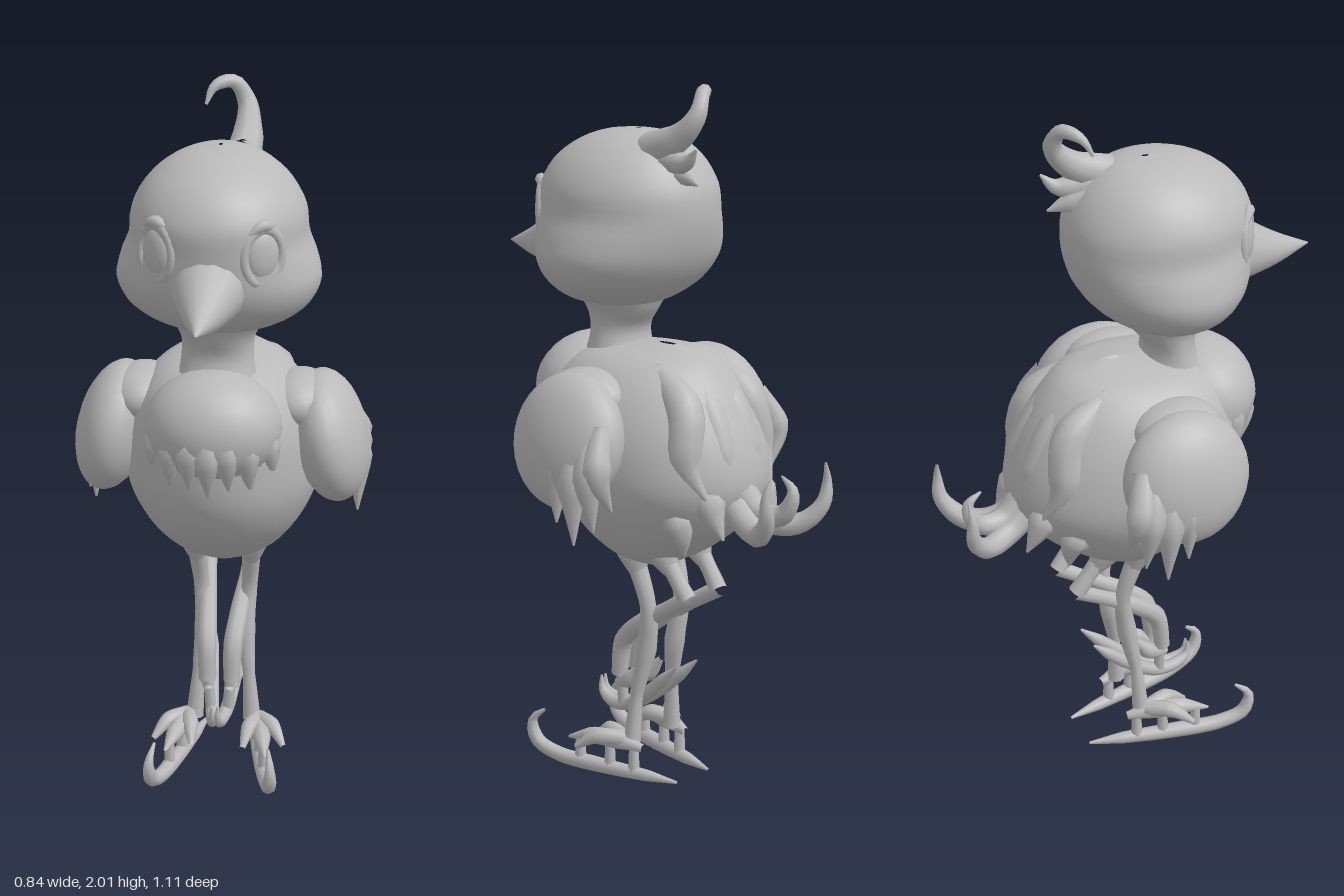
import * as THREE from 'three';
import { mergeVertices } from 'three/addons/utils/BufferGeometryUtils.js';

const plaster = new THREE.MeshStandardMaterial({ color: 0xbababa });
plaster.name = 'grey plaster';

const V = (p) => new THREE.Vector3(...p);

function smooth(geo) {
  geo.deleteAttribute('uv');
  geo.deleteAttribute('normal');
  const g = mergeVertices(geo, 1e-5);
  g.computeVertexNormals();
  return g;
}

function add(parent, name, geo) {
  const mesh = new THREE.Mesh(geo, plaster);
  mesh.name = name;
  parent.add(mesh);
  return mesh;
}

// Solid through elliptical rings given as [y, half width, back z, front z].
function loft(rows, segments = 32) {
  const sides = new THREE.CatmullRomCurve3(rows.map((r) => V([r[1], r[0], 0])));
  const depths = new THREE.CatmullRomCurve3(rows.map((r) => V([r[2], r[0], r[3]])));
  const n = rows.length * 3;
  const rings = [];
  for (let i = 0; i <= n; i++) rings.push(new THREE.Vector2(1, i));
  const geo = new THREE.LatheGeometry(rings, segments);
  const pos = geo.attributes.position;
  for (let i = 0; i < pos.count; i++) {
    const t = Math.round(pos.getY(i)) / n;
    const a = sides.getPoint(t), b = depths.getPoint(t);
    pos.setXYZ(i, pos.getX(i) * Math.max(a.x, 0), a.y,
      (b.x + b.z) / 2 + pos.getZ(i) * (b.z - b.x) / 2);
  }
  return smooth(geo);
}

// Tube along points whose radius follows a list.
function taper(points, radii, segments = 8) {
  const curve = new THREE.CatmullRomCurve3(points.map(V));
  const n = points.length * 4;
  const geo = new THREE.TubeGeometry(curve, n, 1, segments);
  const pos = geo.attributes.position;
  const v = new THREE.Vector3();
  for (let i = 0; i < pos.count; i++) {
    const t = Math.floor(i / (segments + 1)) / n;
    const k = t * (radii.length - 1), j = Math.min(Math.floor(k), radii.length - 2);
    const r = THREE.MathUtils.lerp(radii[j], radii[j + 1], k - j);
    const c = curve.getPointAt(t);
    v.fromBufferAttribute(pos, i).sub(c).multiplyScalar(r).add(c);
    pos.setXYZ(i, v.x, v.y, v.z);
  }
  return smooth(geo);
}

function ellipsoid(rx, ry, rz) {
  return new THREE.SphereGeometry(1, 24, 16).scale(rx, ry, rz);
}

// Copy of a path reflected to side s (+1 or -1).
const mirror = (points, s) => points.map(([x, y, z]) => [x * s, y, z]);

function addHead(model) {
  const head = new THREE.Group();
  head.name = 'head';
  model.add(head);
  add(head, 'skull', loft([
    [1.37, 0.01, 0.06, 0.12], [1.385, 0.11, -0.01, 0.19], [1.41, 0.19, -0.06, 0.24],
    [1.46, 0.255, -0.12, 0.29], [1.52, 0.28, -0.16, 0.32], [1.58, 0.268, -0.18, 0.33],
    [1.64, 0.245, -0.19, 0.335], [1.71, 0.237, -0.185, 0.335], [1.78, 0.2, -0.15, 0.295],
    [1.83, 0.145, -0.1, 0.23], [1.86, 0.08, -0.04, 0.15], [1.87, 0.005, 0.03, 0.05],
  ]));
  add(head, 'beak', taper([[0, 1.55, 0.24], [0, 1.53, 0.33], [0, 1.51, 0.43], [0, 1.5, 0.55]],
    [0.12, 0.085, 0.045, 0.002], 14));
  for (const s of [1, -1]) {
    const eye = new THREE.Group();
    eye.name = s > 0 ? 'leftEye' : 'rightEye';
    eye.position.set(0.14 * s, 1.635, 0.275);
    eye.rotation.y = 0.63 * s;
    head.add(eye);
    add(eye, 'eyeRim', new THREE.TorusGeometry(0.06, 0.014, 8, 24)).scale.set(0.95, 1.25, 1);
    add(eye, 'eyeball', ellipsoid(0.048, 0.068, 0.022));
    add(eye, 'brow', taper([[-0.06, 0.05, 0], [0, 0.085, 0.005], [0.065, 0.05, -0.02]],
      [0.004, 0.018, 0.004]));
  }
  // Curled crest with two shorter strands behind
  add(head, 'crestCurl', taper([[0.05, 1.82, -0.05], [0.05, 1.86, -0.15], [0.04, 1.925, -0.21],
    [0.005, 1.983, -0.2], [-0.045, 1.975, -0.165], [-0.065, 1.93, -0.14]],
  [0.05, 0.045, 0.033, 0.022, 0.018, 0.004]));
  add(head, 'crestStrand', taper([[0.04, 1.8, -0.09], [0.06, 1.8, -0.19], [0.07, 1.84, -0.235]],
    [0.045, 0.03, 0.003]));
  add(head, 'crestStrand', taper([[0.02, 1.77, -0.1], [0.04, 1.755, -0.18], [0.05, 1.74, -0.225]],
    [0.05, 0.03, 0.003]));
}

function addBody(model) {
  add(model, 'body', loft([
    [0.63, 0.01, -0.06, 0.0], [0.66, 0.1, -0.12, 0.06], [0.71, 0.17, -0.21, 0.14],
    [0.8, 0.235, -0.32, 0.24], [0.9, 0.275, -0.375, 0.295], [1.0, 0.28, -0.365, 0.31],
    [1.1, 0.265, -0.325, 0.31], [1.19, 0.22, -0.27, 0.28], [1.25, 0.15, -0.21, 0.2],
    [1.28, 0.01, -0.1, -0.04],
  ]));
  add(model, 'neck', loft([
    [1.16, 0.14, 0.0, 0.24], [1.22, 0.115, 0.02, 0.21], [1.3, 0.1, 0.04, 0.18],
    [1.36, 0.105, 0.0, 0.2], [1.42, 0.15, -0.03, 0.23],
  ], 20));

  // Chest ruff ending in a row of feather points
  add(model, 'chestRuff', ellipsoid(0.19, 0.155, 0.16)).position.set(0, 1.125, 0.205);
  for (let i = -3; i <= 3; i++) {
    const x = i * 0.052, z = 0.34 - 0.011 * i * i;
    add(model, 'chestFeather', taper([[x * 0.8, 1.2, z - 0.03], [x, 1.07, z],
      [x * 1.05, 0.95 + (i % 2 ? 0.02 : 0), z - 0.03]], [0.02, 0.037, 0.003], 7));
  }

  // Tail: centre curl, outer curls, rump tufts
  add(model, 'tailCurl', taper([[0, 0.92, -0.32], [-0.01, 0.85, -0.4], [-0.02, 0.86, -0.48],
    [-0.02, 0.93, -0.51], [-0.02, 0.965, -0.47]], [0.05, 0.04, 0.032, 0.022, 0.003]));
  for (const s of [1, -1]) {
    add(model, 'tailCurl', taper(mirror([[0.02, 0.9, -0.3], [0.04, 0.825, -0.4], [0.085, 0.82, -0.48],
      [0.12, 0.88, -0.535], [0.13, 0.945, -0.54], [0.115, 1.0, -0.545]], s),
    [0.05, 0.04, 0.034, 0.028, 0.018, 0.003]));
    add(model, 'rumpTuft', taper(mirror([[0.09, 0.96, -0.27], [0.11, 0.86, -0.335], [0.11, 0.79, -0.375]], s),
      [0.03, 0.045, 0.003]));
    add(model, 'rumpTuft', taper(mirror([[0.16, 0.9, -0.2], [0.15, 0.8, -0.255], [0.14, 0.73, -0.26]], s),
      [0.03, 0.045, 0.003]));
    // Long back feathers lying over the body
    for (const [x0, x1, end] of [[0.04, 0.05, 0.86], [0.1, 0.15, 0.9]]) {
      add(model, 'backFeather', taper(mirror([[x0, 1.23, -0.12], [(x0 + x1) / 2, 1.13, -0.245],
        [x1, 1.0, -0.325 + x1 * 0.35], [x1 * 0.9, end, -0.375 + x1 * 0.25]], s),
      [0.03, 0.055, 0.055, 0.004], 10));
    }
  }
}

function addWing(model, s) {
  const wing = new THREE.Group();
  wing.name = s > 0 ? 'leftWing' : 'rightWing';
  model.add(wing);
  const lobe = add(wing, 'wingLobe', ellipsoid(0.105, 0.19, 0.185));
  lobe.position.set(0.305 * s, 1.04, 0.02);
  lobe.rotation.z = 0.22 * s;
  add(wing, 'shoulder', ellipsoid(0.1, 0.08, 0.13)).position.set(0.22 * s, 1.15, 0.03);
  // Flight feathers hanging behind the lobe
  const tips = [[0.38, 0.89, 0.06], [0.385, 0.83, -0.01], [0.38, 0.775, -0.07],
    [0.365, 0.82, -0.13], [0.335, 0.88, -0.17]];
  for (const [x, y, z] of tips) {
    add(wing, 'wingFeather', taper(mirror([[0.32, 1.1, z * 0.7], [0.372, 0.98, z * 0.9], [x, y, z]], s),
      [0.03, 0.042, 0.003]));
  }
}

function addStandingLeg(model, s) {
  const leg = new THREE.Group();
  leg.name = s > 0 ? 'leftLeg' : 'rightLeg';
  model.add(leg);
  add(leg, 'thighTuft', taper(mirror([[0.08, 0.74, 0.0], [0.08, 0.66, -0.02], [0.078, 0.6, -0.035]], s),
    [0.07, 0.045, 0.015]));
  add(leg, 'shank', taper(mirror([[0.08, 0.66, -0.02], [0.07, 0.52, -0.06], [0.06, 0.4, -0.045],
    [0.075, 0.25, -0.02], [0.085, 0.11, -0.01]], s), [0.028, 0.023, 0.03, 0.018, 0.026]));
  // Skate turned slightly outward
  const skate = new THREE.Group();
  skate.name = 'skate';
  skate.position.x = 0.105 * s;
  skate.rotation.y = 0.22 * s;
  leg.add(skate);
  add(skate, 'blade', taper([[0, 0.018, -0.175], [0, 0.02, -0.08], [0, 0.022, 0.1], [0, 0.03, 0.23],
    [0, 0.06, 0.3], [0, 0.12, 0.315], [0, 0.16, 0.27]],
  [0.004, 0.018, 0.022, 0.024, 0.022, 0.02, 0.004]));
  add(skate, 'footBed', taper([[0, 0.1, -0.06], [0, 0.11, 0.02], [0, 0.11, 0.1], [0, 0.09, 0.19]],
    [0.012, 0.028, 0.026, 0.004]));
  for (const side of [1, -1]) {
    add(skate, 'toe', taper([[0, 0.12, 0.0], [0.035 * side, 0.125, 0.07], [0.06 * side, 0.09, 0.13]],
      [0.024, 0.024, 0.008]));
  }
  for (const z of [-0.03, 0.05, 0.15]) {
    add(skate, 'bladePost', new THREE.CylinderGeometry(0.014, 0.018, 0.09, 8)).position.set(0, 0.06, z);
  }
}

function addRaisedLeg(model, s) {
  const leg = new THREE.Group();
  leg.name = s > 0 ? 'leftRaisedLeg' : 'rightRaisedLeg';
  model.add(leg);
  add(leg, 'thighTuft', taper(mirror([[0.07, 0.76, -0.08], [0.07, 0.69, -0.12], [0.068, 0.64, -0.15]], s),
    [0.07, 0.05, 0.02]));
  add(leg, 'thigh', taper(mirror([[0.07, 0.68, -0.13], [0.068, 0.61, -0.18], [0.065, 0.575, -0.205]], s),
    [0.025, 0.023, 0.026]));
  add(leg, 'shank', taper(mirror([[0.066, 0.58, -0.21], [0.055, 0.52, -0.11], [0.045, 0.45, 0.0],
    [0.038, 0.39, 0.065], [0.036, 0.28, 0.085]], s), [0.024, 0.022, 0.027, 0.028, 0.024]));
  add(leg, 'footBed', taper(mirror([[0.04, 0.33, -0.01], [0.038, 0.27, 0.045], [0.028, 0.25, 0.1]], s),
    [0.008, 0.026, 0.012]));
  add(leg, 'bladePost', taper(mirror([[0.032, 0.28, 0.08], [0.025, 0.19, 0.08]], s), [0.016, 0.016]));
  add(leg, 'blade', taper(mirror([[0.045, 0.355, -0.145], [0.04, 0.29, -0.075], [0.033, 0.235, -0.01],
    [0.022, 0.185, 0.07], [0.012, 0.178, 0.14], [0.008, 0.2, 0.18], [0.008, 0.245, 0.185]], s),
  [0.003, 0.018, 0.02, 0.02, 0.02, 0.018, 0.003]));
}

export function createModel() {
  const model = new THREE.Group();
  model.name = 'skatingChick';
  addHead(model);
  addBody(model);
  for (const s of [1, -1]) {
    addWing(model, s);
    addStandingLeg(model, s);
    addRaisedLeg(model, s);
  }
  return model;
}
